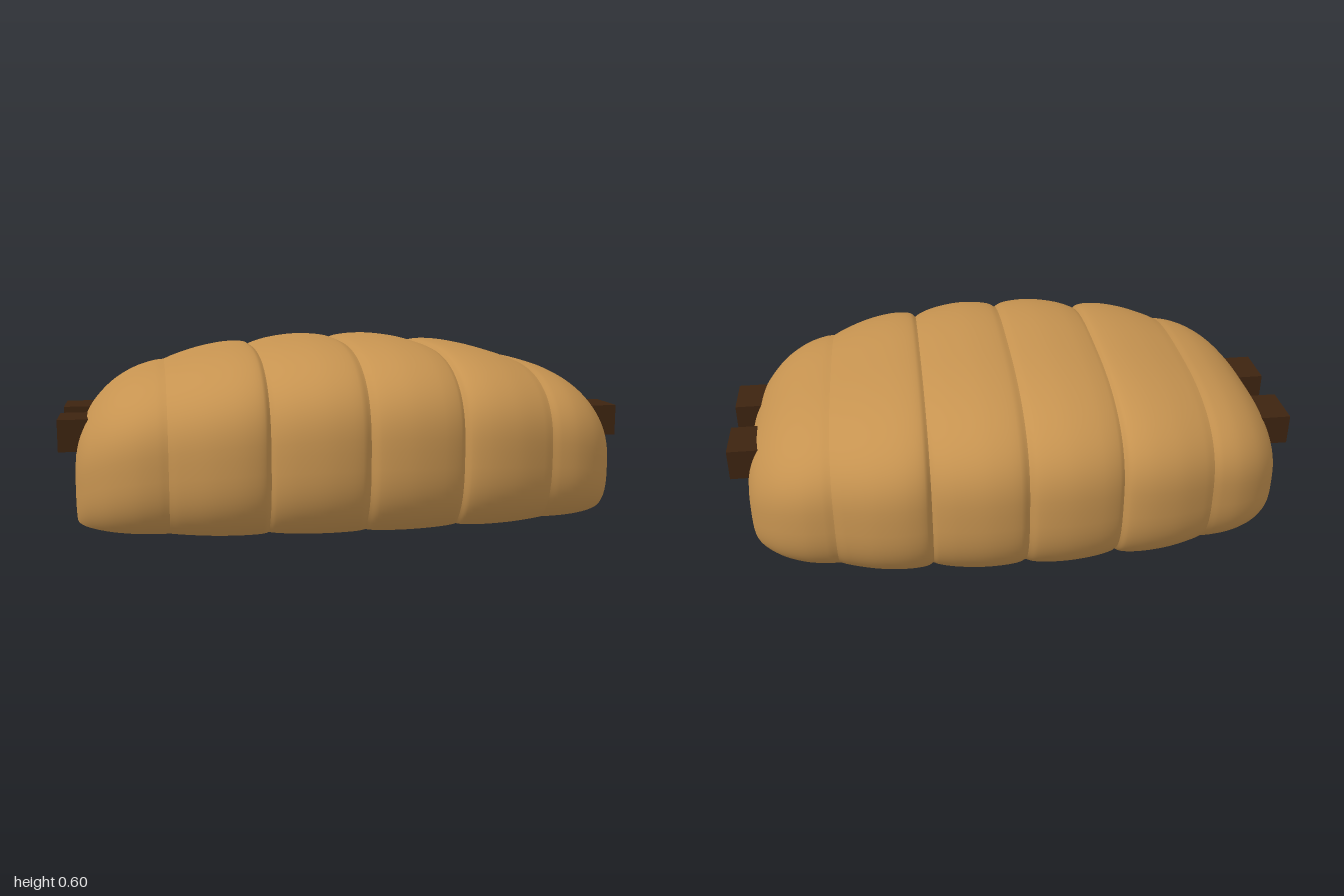
import * as THREE from 'three';

const crust = new THREE.MeshStandardMaterial({ color: 0xc69350 });
crust.name = 'golden crust';
const dark = new THREE.MeshStandardMaterial({ color: 0x3d2410 });
dark.name = 'dark brown';

// Lobe profiles from the middle outwards: [x, half width, top height]
const lobes = {
  middleLobe: [[0, 0.605, 0.585], [0.03, 0.625, 0.596], [0.13, 0.637, 0.603], [0.24, 0.62, 0.59], [0.3, 0.595, 0.573], [0.317, 0.58, 0.565]],
  shoulderLobe: [[0.317, 0.58, 0.565], [0.337, 0.6, 0.576], [0.4, 0.611, 0.577], [0.5, 0.597, 0.56], [0.6, 0.557, 0.53], [0.637, 0.535, 0.515]],
  endLobe: [[0.637, 0.535, 0.515], [0.67, 0.535, 0.511], [0.74, 0.52, 0.49], [0.82, 0.475, 0.445], [0.89, 0.4, 0.376],
    [0.925, 0.335, 0.315], [0.942, 0.265, 0.255], [0.95, 0.13, 0.13], [0.953, 0, 0]],
};
const POWER = 2 / 2.8;
const START = -0.68; // where the rounded section is cut by the flat base
const AROUND = 72;
const soften = (v) => Math.sign(v) * Math.abs(v) ** POWER;
const BASE_RATIO = soften(Math.cos(START));

function sampleProfile(points) {
  const curve = new THREE.CatmullRomCurve3(points.map((p) => new THREE.Vector3(...p)));
  return curve.getPoints((points.length - 1) * 6);
}

// One lobe of the shell: rounded cross-sections joined along x
function lobeGeometry(rows, side) {
  const positions = [], index = [];
  const heel = soften(Math.sin(START));
  rows.forEach(({ x, y: width, z: top }) => {
    const middle = 0.45 * top;
    for (let j = 0; j <= AROUND; j++) {
      const a = START + (Math.PI - 2 * START) * j / AROUND;
      const s = soften(Math.sin(a));
      const y = s > 0 ? middle + (top - middle) * s : middle - middle * s / heel;
      positions.push(side * x, Math.max(0, y), width * soften(Math.cos(a)));
    }
  });
  const n = AROUND + 1;
  for (let i = 0; i < rows.length - 1; i++) {
    for (let j = 0; j < AROUND; j++) {
      const a = i * n + j, b = a + n;
      if (side > 0) index.push(a, b, a + 1, b, b + 1, a + 1);
      else index.push(a, a + 1, b, b, a + 1, b + 1);
    }
  }
  const geometry = new THREE.BufferGeometry();
  geometry.setAttribute('position', new THREE.Float32BufferAttribute(positions, 3));
  geometry.setIndex(index);
  geometry.computeVertexNormals();
  return geometry;
}

export function createModel() {
  const model = new THREE.Group();
  model.name = 'loaf';
  const add = (name, geometry, material) => {
    const mesh = new THREE.Mesh(geometry, material);
    mesh.name = name;
    model.add(mesh);
    return mesh;
  };

  // Six puffed lobes with creases between them
  const outline = [];
  for (const [name, points] of Object.entries(lobes)) {
    const rows = sampleProfile(points);
    rows.slice(outline.length ? 1 : 0).forEach((r) => outline.push([r.x, r.y * BASE_RATIO]));
    for (const side of [1, -1]) add(name + (side > 0 ? 'Left' : 'Right'), lobeGeometry(rows, side), crust);
  }

  // Flat base following the lower edge of the lobes
  const back = [...outline].reverse();
  const ring = [
    ...outline,
    ...back.slice(1).map(([x, z]) => [x, -z]),
    ...outline.slice(1).map(([x, z]) => [-x, -z]),
    ...back.slice(1, -1).map(([x, z]) => [-x, z]),
  ];
  const base = new THREE.ShapeGeometry(new THREE.Shape(ring.map(([x, z]) => new THREE.Vector2(x, z))));
  base.rotateX(Math.PI / 2);
  add('base', base, crust);

  // Two square pegs at each end
  for (const side of [1, -1]) {
    for (const z of [0.147, -0.163]) {
      add('endPeg', new THREE.BoxGeometry(0.14, 0.11, 0.165), dark).position.set(side * 0.93, 0.295, z);
    }
  }
  return model;
}
